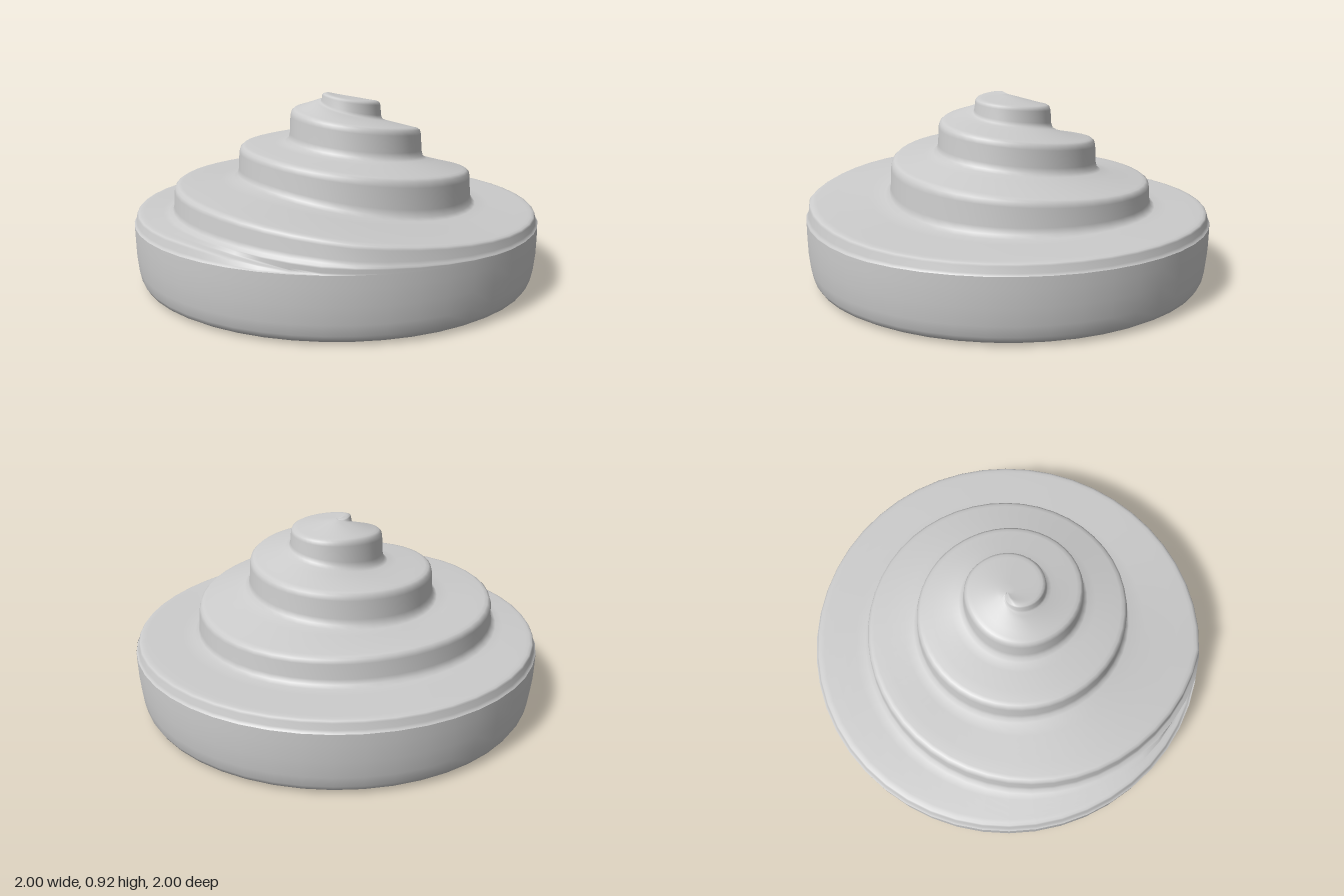
import * as THREE from 'three';
import { mergeVertices } from 'three/addons/utils/BufferGeometryUtils.js';

const STEPS = 48; // steps per turn

// Spiral tables, one value per quarter turn, starting at turn -0.25
const RADIUS = [0, 0.1, 0.205, 0.22, 0.195, 0.27, 0.405, 0.43, 0.45, 0.52, 0.64, 0.7, 0.72, 0.87, 1.08, 1.1];
const TOP = [0.91, 0.92, 0.89, 0.867, 0.86, 0.835, 0.775, 0.71, 0.68, 0.66, 0.575, 0.505, 0.505, 0.495, 0.37, 0.365];
const FOOT = [0.91, 0.87, 0.80, 0.755, 0.70, 0.675, 0.62, 0.555, 0.51, 0.51, 0.385, 0.37, 0.37, 0.37, 0.31, 0.31];

// Smooth (cubic) lookup in a table
function sample(table, turn) {
  const u = (turn + 0.25) * 4;
  const i = Math.floor(u);
  const f = u - i;
  const at = (k) => table[Math.min(Math.max(k, 0), table.length - 1)];
  const [a, b, c, d] = [at(i - 1), at(i), at(i + 1), at(i + 2)];
  return b + 0.5 * f * (c - a + f * (2 * a - 5 * b + 4 * c - d + f * (3 * (b - c) + d - a)));
}

// Step wall at a given turn: radius, top height, foot height and foot radius
function wallAt(turn) {
  if (turn <= -0.25) return { r: 0, top: TOP[0], foot: FOOT[0], footR: 0 };
  const r = Math.min(Math.max(sample(RADIUS, turn), 0), 0.985);
  const footR = r + Math.min(0.03, 1 - r, r * 0.33);
  return { r, top: sample(TOP, turn), foot: sample(FOOT, turn), footR };
}

// Wall rows: radial offset and share of the drop
const WALL = [[-0.035, 0], [-0.018, 0.025], [-0.006, 0.09], [0, 0.23], [0.004, 0.75], [0.011, 0.92]];

// Cross-section from the foot of the previous coil, over the tread, down to this coil's foot
function section(turn) {
  const inner = wallAt(turn - 1);
  const outer = wallAt(turn);
  const grow = Math.min(1, Math.max(0, (outer.r - inner.footR) / 0.08)); // fades out at both ends
  const wall = WALL.map(([dr, drop]) => {
    const y = outer.top - (outer.top - outer.foot) * drop;
    return [
      Math.max(inner.footR, outer.r + Math.min(dr, outer.footR - outer.r)),
      outer.foot + (y - outer.foot) * grow,
    ];
  });
  const tread = [0, 0.25, 0.5, 0.75].map((f) => [
    inner.footR + (wall[0][0] - inner.footR) * f,
    inner.foot + (wall[0][1] - inner.foot) * f,
  ]);
  return [...tread, ...wall, [Math.max(inner.footR, outer.footR), outer.foot]];
}

// Ribbon swept around the axis; each coil's foot meets the next coil's tread
function spiralGeometry() {
  const positions = [];
  const index = [];
  const first = -STEPS / 4;
  const last = 4.25 * STEPS;
  let n = 0;
  for (let s = first; s <= last; s++) {
    const angle = (s / STEPS) * Math.PI * 2;
    const row = section(s / STEPS);
    n = row.length;
    for (const [r, y] of row) positions.push(-r * Math.cos(angle), y, r * Math.sin(angle));
  }
  for (let i = 0; i < last - first; i++) {
    for (let j = 0; j < n - 1; j++) {
      const a = i * n + j;
      index.push(a, a + 1, a + n + 1, a, a + n + 1, a + n);
    }
  }
  const raw = new THREE.BufferGeometry();
  raw.setAttribute('position', new THREE.Float32BufferAttribute(positions, 3));
  raw.setIndex(index);
  const geometry = mergeVertices(raw, 1e-4);
  geometry.computeVertexNormals();
  return geometry;
}

export function createModel() {
  const group = new THREE.Group();
  group.name = 'spiralMound';
  const material = new THREE.MeshStandardMaterial({ color: 0xcccccc, side: THREE.DoubleSide });

  // Coiled, stepped top
  const spiral = new THREE.Mesh(spiralGeometry(), material);
  spiral.name = 'spiralSteps';
  group.add(spiral);

  // Round base with a softened lower edge
  const profile = [
    [0, 0.005], [0.9, 0.005], [0.94, 0.01], [0.965, 0.025], [0.98, 0.05],
    [0.99, 0.1], [0.998, 0.18], [1, 0.26], [1, 0.31],
  ].map(([r, y]) => new THREE.Vector2(r, y));
  const base = new THREE.Mesh(new THREE.LatheGeometry(profile, STEPS), material);
  base.name = 'base';
  group.add(base);

  return group;
}
